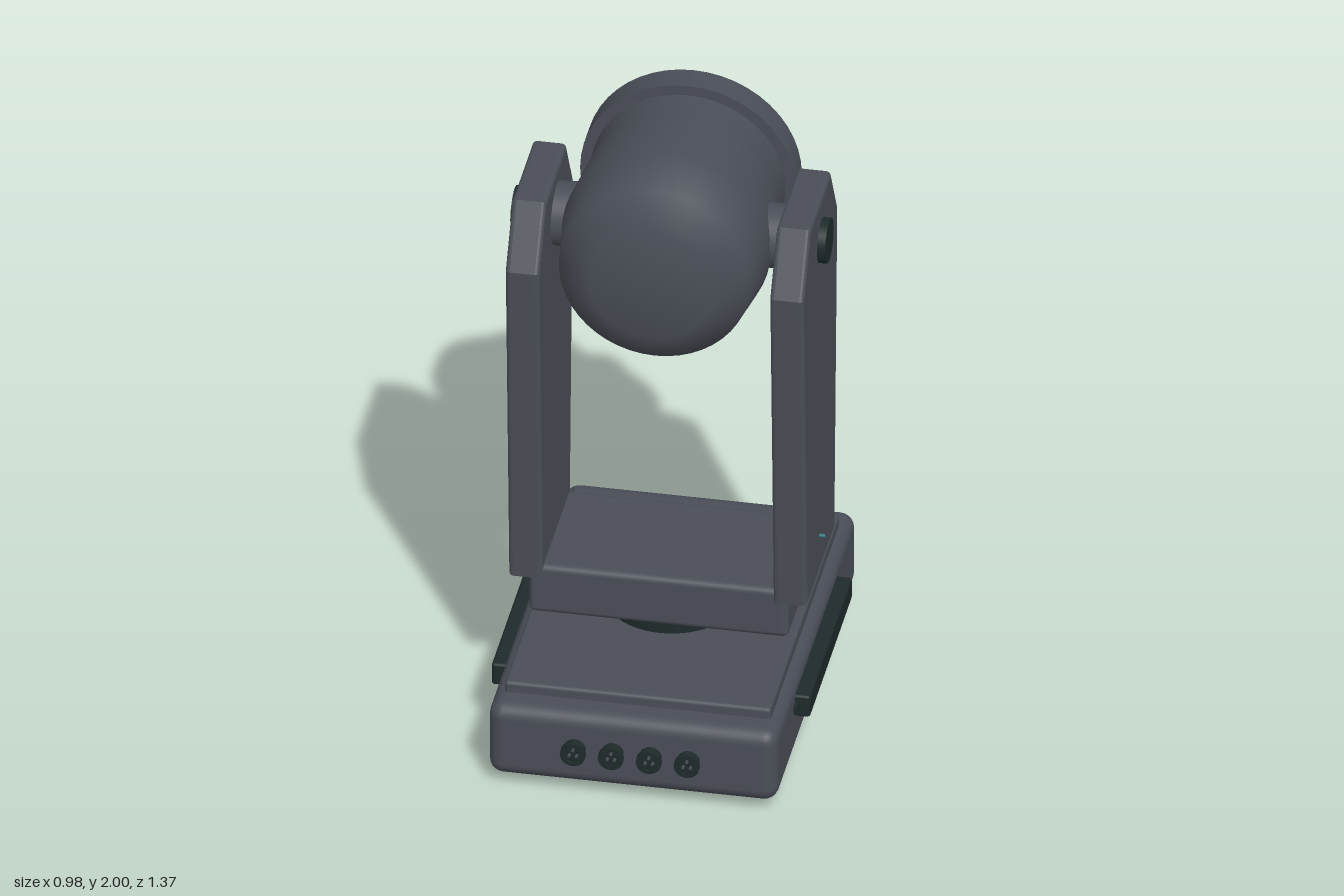
import * as THREE from 'three';
import { toCreasedNormals } from 'three/addons/utils/BufferGeometryUtils.js';
import { RoundedBoxGeometry } from 'three/addons/geometries/RoundedBoxGeometry.js';

const material = (name, color) => {
  const m = new THREE.MeshStandardMaterial({ color });
  m.name = name;
  return m;
};

export function createModel() {
  const housing = material('charcoal housing', 0x4a4e57);
  const trim = material('black trim', 0x1e2a2b);
  const glass = material('teal glass', 0x2f7080);
  const model = new THREE.Group();
  model.name = 'movingHeadLight';

  const add = (name, geometry, mat, x = 0, y = 0, z = 0, parent = model) => {
    const mesh = new THREE.Mesh(geometry, mat);
    mesh.name = name;
    mesh.position.set(x, y, z);
    parent.add(mesh);
    return mesh;
  };
  const group = (name, x = 0, y = 0, z = 0) => {
    const g = new THREE.Group();
    g.name = name;
    g.position.set(x, y, z);
    model.add(g);
    return g;
  };
  const rounded = (w, h, d, r, seg = 3) => new RoundedBoxGeometry(w, h, d, seg, r);
  const cylX = (r, l) => new THREE.CylinderGeometry(r, r, l, 32).rotateZ(Math.PI / 2);
  const cylZ = (r, l, n = 24) => new THREE.CylinderGeometry(r, r, l, n).rotateX(Math.PI / 2);
  // Profile of [radius, distance toward the back], turned around the z axis
  const lathe = (pts, n = 48) => new THREE.LatheGeometry(
    pts.map(([r, d]) => new THREE.Vector2(r, d)), n).rotateX(-Math.PI / 2);

  // Base
  add('base', rounded(0.89, 0.25, 1.29, 0.045), housing, 0, 0.16);
  add('baseTopPlate', rounded(0.82, 0.07, 1.11, 0.012), housing, 0, 0.285);
  add('turntable', new THREE.CylinderGeometry(0.2, 0.2, 0.05, 48), trim, 0, 0.34);
  for (const x of [-0.345, 0.345]) {
    for (const z of [-0.44, 0.445]) {
      add('foot', new THREE.CylinderGeometry(0.043, 0.043, 0.04, 24), trim, x, 0.02, z);
    }
  }

  // Front sockets
  for (let i = 0; i < 4; i++) {
    const socket = group('frontSocket', -0.176 + i * 0.117, 0.165, 0.645);
    add('socketBody', cylZ(0.034, 0.05), trim, 0, 0, 0, socket);
    add('socketRim', toCreasedNormals(lathe([
      [0.026, -0.038], [0.039, -0.038], [0.039, -0.022], [0.026, -0.022],
    ], 24), 0.6), trim, 0, 0, 0, socket);
    for (let k = 0; k < 3; k++) {
      const a = Math.PI / 2 + k * Math.PI * 2 / 3;
      add('socketPin', cylZ(0.005, 0.012, 8), housing,
        0.013 * Math.cos(a), 0.013 * Math.sin(a), 0.028, socket);
    }
  }

  // Rear control panel
  add('controlPanel', rounded(0.415, 0.125, 0.035, 0.008, 2), trim, 0, 0.168, -0.652);
  add('display', rounded(0.175, 0.083, 0.03, 0.005, 2), glass, -0.07, 0.168, -0.675);
  for (let i = 0; i < 4; i++) {
    add('panelButton', new THREE.BoxGeometry(0.02, 0.022, 0.03), trim,
      0.056 + i * 0.034, 0.168, -0.675);
  }

  // Yoke
  add('yokeCrossbar', rounded(0.8, 0.17, 0.435, 0.02), housing, 0, 0.445, 0.003);
  const armShape = new THREE.Shape([
    [-0.228, 0.49], [0.223, 0.49], [0.27, 1.62], [0.162, 1.81], [-0.17, 1.81], [-0.285, 1.62],
  ].map(([x, y]) => new THREE.Vector2(x, y)));
  const armGeometry = new THREE.ExtrudeGeometry(armShape, {
    depth: 0.077, bevelThickness: 0.014, bevelSize: 0.014, bevelOffset: -0.014, bevelSegments: 3,
  }).translate(0, 0, -0.0385).rotateY(Math.PI / 2);
  for (const s of [-1, 1]) {
    const side = s > 0 ? 'left' : 'right';
    add(side + 'YokeArm', armGeometry, housing, s * 0.4075);
    add(side + 'TiltHub', cylX(0.1, 0.12), housing, s * 0.31, 1.667);
    add(side + 'PivotCap', cylX(0.07, 0.05), trim, s * 0.46, 1.667);
    add(side + 'IndicatorLight', cylX(0.006, 0.03), glass, s * 0.463, 0.62, 0.03);
    add(side + 'CarryHandle', rounded(0.06, 0.076, 0.68, 0.01), trim, s * 0.461, 0.202, 0.003);
    add(side + 'HandleLatch', new THREE.BoxGeometry(0.02, 0.03, 0.04), trim, s * 0.448, 0.2, 0.345);
  }

  // Head
  const head = group('head', 0, 1.667, 0);
  add('headShell', lathe([
    [0, -0.35], [0.19, -0.35], [0.295, -0.28], [0.322, -0.09], [0.297, 0.17], [0.3, 0.27],
  ]), housing, 0, 0, 0, head);
  add('headRim', toCreasedNormals(lathe([
    [0.28, 0.26], [0.333, 0.26], [0.333, 0.35], [0.3, 0.35], [0.3, 0.365],
    [0.28, 0.365], [0.28, 0.35], [0, 0.35],
  ]), 0.6), housing, 0, 0, 0, head);

  // Lens cluster: three inside, nine outside
  const lensGeometry = toCreasedNormals(lathe([
    [0, 0.4], [0.068, 0.4], [0.068, 0.414], [0.057, 0.416], [0.054, 0.432],
    [0.04, 0.437], [0.011, 0.439], [0.011, 0.448], [0, 0.448],
  ], 28), 0.6);
  for (const [count, radius] of [[3, 0.083], [9, 0.21]]) {
    for (let i = 0; i < count; i++) {
      const a = -Math.PI / 2 + i * Math.PI * 2 / count;
      add('lens', lensGeometry, glass, radius * Math.cos(a), radius * Math.sin(a), 0, head);
    }
  }
  return model;
}
